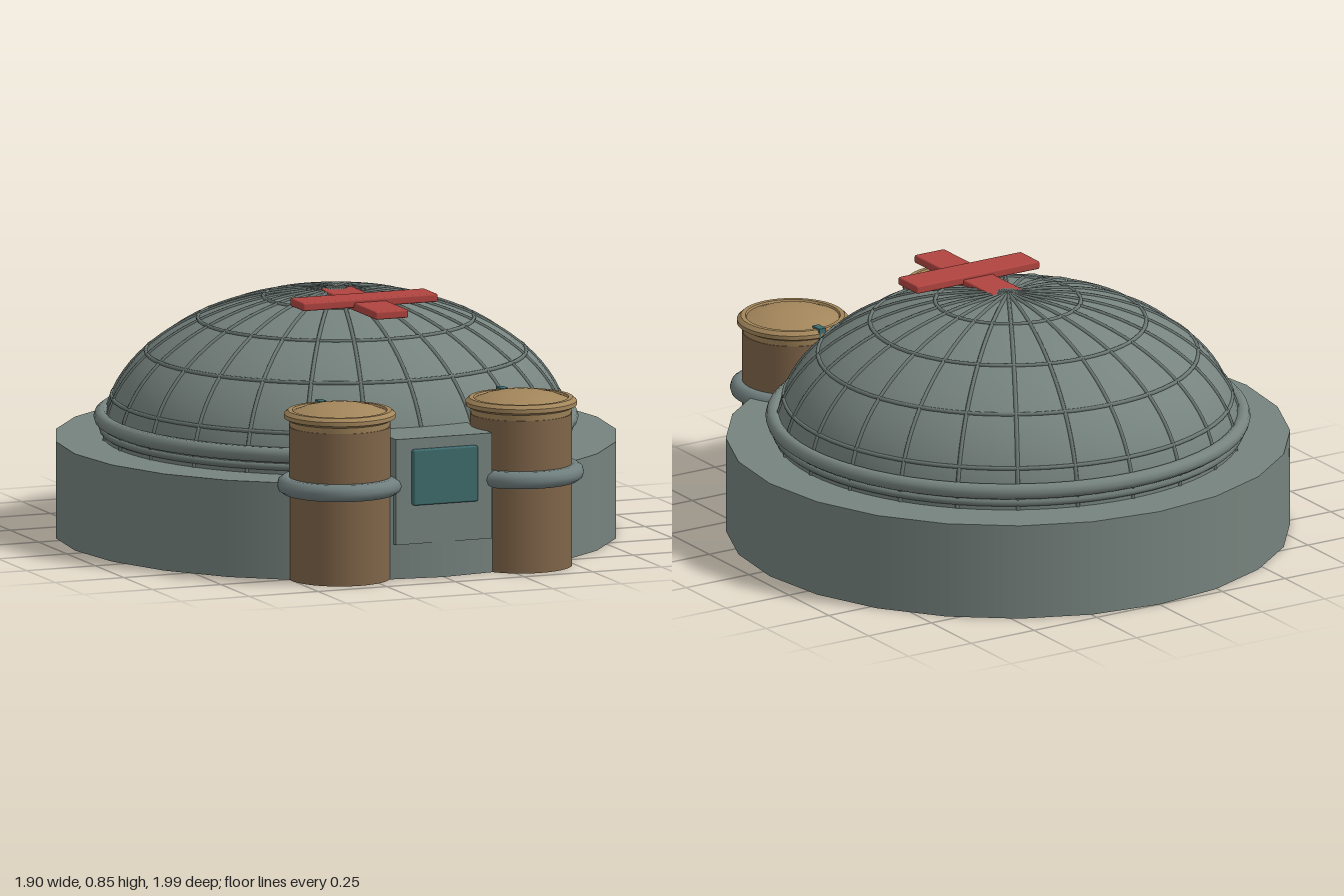
import * as THREE from 'three';
import { RoundedBoxGeometry } from 'three/addons/geometries/RoundedBoxGeometry.js';
import { toCreasedNormals } from 'three/addons/utils/BufferGeometryUtils.js';

const material = (name, color) => {
  const m = new THREE.MeshStandardMaterial({ color });
  m.name = name;
  return m;
};

export function createModel() {
  const grey = material('grey plating', 0x76837e);
  const ribGrey = material('rib grey', 0x6a7672);
  const ringGrey = material('ring grey', 0x71807f);
  const brown = material('brown wall', 0x806549);
  const tan = material('tan cap', 0xa3865b);
  const red = material('red marker', 0xb04440);
  const teal = material('teal panel', 0x3f6c6e);

  const model = new THREE.Group();
  const add = (parent, name, geometry, mat, x = 0, y = 0, z = 0) => {
    const mesh = new THREE.Mesh(geometry, mat);
    mesh.name = name;
    mesh.position.set(x, y, z);
    parent.add(mesh);
    return mesh;
  };
  const ring = (parent, name, radius, tube, mat, x, y, z) => {
    add(parent, name, new THREE.TorusGeometry(radius, tube, 10, 64), mat, x, y, z).rotation.x = Math.PI / 2;
  };

  // Round base with 24 sides
  const cz = -0.05;
  add(model, 'base', new THREE.CylinderGeometry(0.95, 0.95, 0.33, 24), grey, 0, 0.165, cz);

  // Elliptical dome, ribbed by meridians and parallels
  const R = 0.785, H = 0.5, floor = 0.33;
  const dome = new THREE.Group();
  dome.name = 'dome';
  dome.position.set(0, floor, cz);
  model.add(dome);
  const shell = new THREE.SphereGeometry(1, 72, 24, 0, Math.PI * 2, 0, Math.PI / 2);
  shell.scale(R, H, R);
  add(dome, 'domeShell', shell, grey);

  const arc = [];
  for (let i = 0; i <= 16; i++) {
    const a = (i / 16) * Math.PI / 2;
    arc.push(new THREE.Vector3(R * Math.cos(a), H * Math.sin(a), 0));
  }
  const rib = new THREE.TubeGeometry(new THREE.CatmullRomCurve3(arc), 28, 0.007, 6);
  for (let i = 0; i < 24; i++) {
    add(dome, 'meridianRib', rib, ribGrey).rotation.y = (i / 24) * Math.PI * 2;
  }
  for (const r of [0.245, 0.465, 0.64, 0.755]) {
    ring(dome, 'parallelRib', r, 0.007, ribGrey, 0, H * Math.sqrt(1 - (r / R) ** 2), 0);
  }
  ring(dome, 'domeCollar', 0.79, 0.026, grey, 0, 0.067, 0);
  ring(dome, 'domeFoot', 0.785, 0.012, ribGrey, 0, 0.025, 0);

  // Red cross lying flat near the dome top
  add(model, 'crossBar', new RoundedBoxGeometry(0.49, 0.028, 0.12, 2, 0.006), red, 0, 0.832, 0.195);
  add(model, 'crossUpright', new RoundedBoxGeometry(0.12, 0.028, 0.5, 2, 0.006), red, 0, 0.821, 0.195);

  // Entry block between the towers, with its panel
  add(model, 'entryBlock', new THREE.BoxGeometry(0.35, 0.36, 0.32), grey, 0, 0.3, 0.739);
  add(model, 'entryPanel', new RoundedBoxGeometry(0.235, 0.19, 0.03, 2, 0.006), teal, 0, 0.348, 0.903);

  // Two capped towers
  const capProfile = [[0.168, 0.51], [0.172, 0.54], [0.188, 0.548], [0.188, 0.562], [0.175, 0.574], [0.16, 0.574],
    [0.156, 0.568], [0.12, 0.582], [0.08, 0.591], [0.04, 0.596], [0, 0.598]].map(p => new THREE.Vector2(...p));
  const cap = toCreasedNormals(new THREE.LatheGeometry(capProfile, 40), 0.6);
  for (const side of [-1, 1]) {
    const tower = new THREE.Group();
    tower.name = side > 0 ? 'leftTower' : 'rightTower';
    tower.position.set(side * 0.33, 0, 0.78);
    model.add(tower);
    add(tower, 'towerWall', new THREE.CylinderGeometry(0.172, 0.172, 0.52, 40), brown, 0, 0.26, 0);
    add(tower, 'towerCap', cap, tan);
    ring(tower, 'towerRing', 0.182, 0.03, ringGrey, 0, 0.32, 0);
    add(tower, 'capLatch', new THREE.BoxGeometry(0.026, 0.035, 0.045), teal, 0, 0.562, -0.165);
  }
  return model;
}
